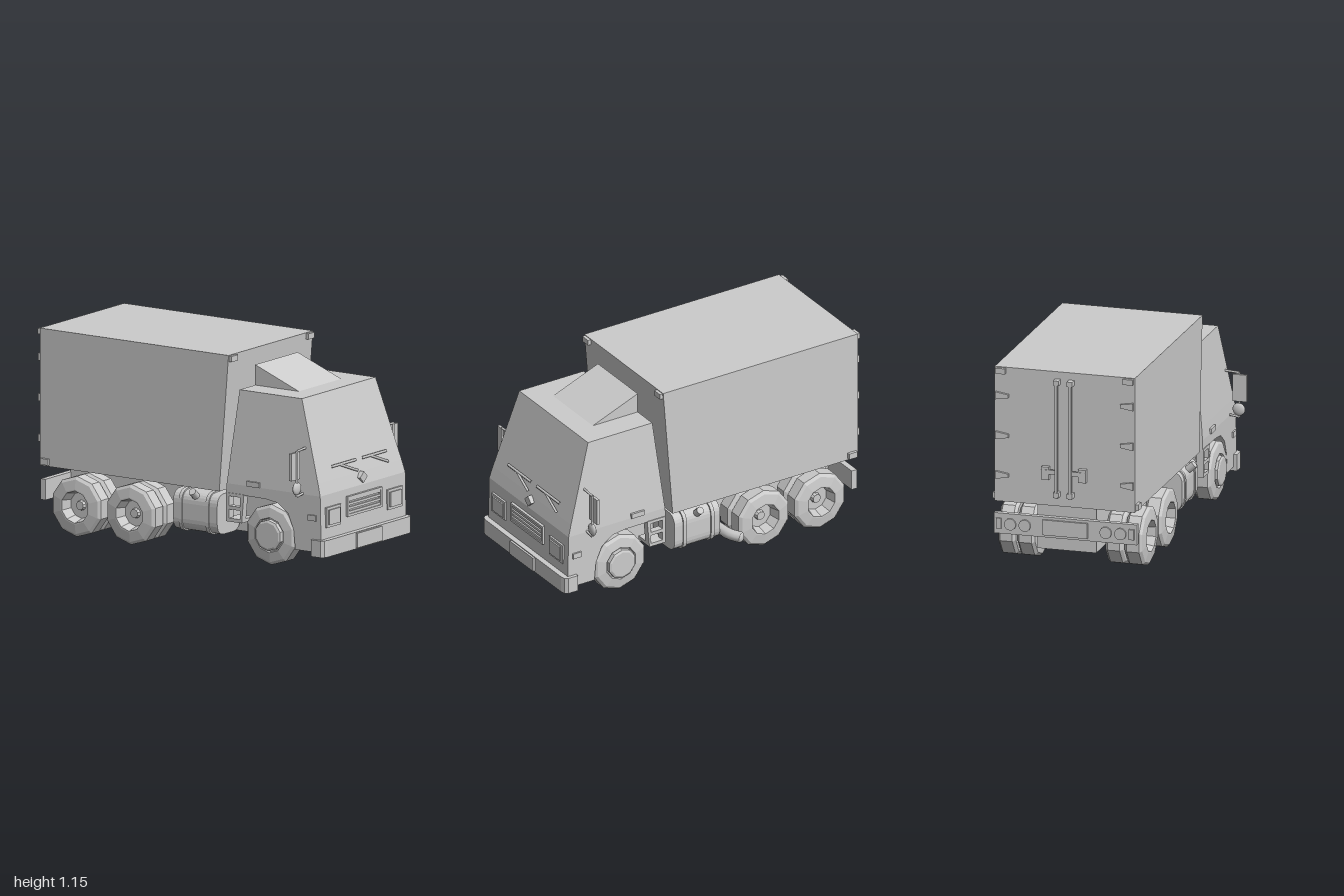
import * as THREE from 'three';

export function createModel() {
  const truck = new THREE.Group();
  truck.name = 'boxTruck';
  const grey = new THREE.MeshStandardMaterial({ color: 0xcccccc });
  grey.name = 'bodyGrey';

  const add = (name, geo, parent = truck) => {
    const m = new THREE.Mesh(geo, grey);
    m.name = name;
    parent.add(m);
    return m;
  };
  const flat = (g) => {
    const n = g.index ? g.toNonIndexed() : g;
    n.computeVertexNormals();
    return n;
  };
  // Box given by its min and max on each axis
  const block = (name, x0, x1, y0, y1, z0, z1, parent = truck) =>
    add(name, new THREE.BoxGeometry(x1 - x0, y1 - y0, z1 - z0)
      .translate((x0 + x1) / 2, (y0 + y1) / 2, (z0 + z1) / 2), parent);
  const toShape = (pts) => new THREE.Shape(pts.map((p) => new THREE.Vector2(...p)));
  // Extrude a (z, y) profile across x from x0 to x1
  const across = (shape, x0, x1) => new THREE.ExtrudeGeometry(shape, { depth: x1 - x0, bevelEnabled: false })
    .rotateY(-Math.PI / 2).translate(x1, 0, 0);
  const rod = (name, a, b, r, parent = truck, sides = 6) => add(name, new THREE.TubeGeometry(
    new THREE.LineCurve3(new THREE.Vector3(...a), new THREE.Vector3(...b)), 1, r, sides), parent);
  const frame = (name, w, h, border, depth, parent = truck) => {
    const s = toShape([[-w, -h], [w, -h], [w, h], [-w, h]]);
    const a = w - border, b = h - border;
    s.holes.push(new THREE.Path([[-a, -b], [-a, b], [a, b], [a, -b]].map((p) => new THREE.Vector2(...p))));
    return add(name, new THREE.ExtrudeGeometry(s, { depth, bevelEnabled: false }), parent);
  };

  // Chassis and axles
  block('chassis', -0.17, 0.17, 0.11, 0.376, -0.915, 0.9);
  for (const z of [0.61, -0.337, -0.706]) {
    add('axle', new THREE.CylinderGeometry(0.035, 0.035, 0.6, 10).rotateZ(Math.PI / 2).translate(0, 0.172, z));
  }

  // Lower cab with the front wheel arch cut away
  const lower = [[0.957, 0.11], [0.95, 0.43], [0.315, 0.43], [0.31, 0.375], [0.58, 0.372],
    [0.66, 0.36], [0.73, 0.31], [0.77, 0.22], [0.78, 0.11]];
  add('lowerCab', across(toShape(lower.slice().reverse()), -0.41, 0.41));

  // Upper cab: box whose rings follow [y, half width, back z, front z]
  const rings = [[0.43, 0.41, 0.315, 0.95], [0.5, 0.403, 0.322, 0.93], [0.957, 0.355, 0.364, 0.787]];
  const cab = new THREE.BoxGeometry(2, 2, 2, 1, 2, 1);
  const cp = cab.attributes.position;
  for (let i = 0; i < cp.count; i++) {
    const [y, w, back, front] = rings[Math.round(cp.getY(i) + 1)];
    cp.setXYZ(i, cp.getX(i) * w, y, cp.getZ(i) > 0 ? front : back);
  }
  add('upperCab', flat(cab));
  add('roofDeflector', across(toShape([[0.364, 0.957], [0.66, 0.957], [0.364, 1.073]]), -0.205, 0.205));

  // Cargo box with a leaning front wall
  add('cargoBox', across(toShape([[-0.957, 0.376], [0.262, 0.376], [0.325, 1.155], [-0.957, 1.155]]), -0.407, 0.407));

  // Bumper with chamfered corners, and number plate
  const bumper = toShape([[-0.43, -0.9], [-0.43, -0.965], [-0.415, -0.982], [-0.39, -0.988],
    [0.39, -0.988], [0.415, -0.982], [0.43, -0.965], [0.43, -0.9]]);
  add('frontBumper', new THREE.ExtrudeGeometry(bumper, { depth: 0.095, bevelEnabled: false })
    .rotateX(-Math.PI / 2).scale(1, 1, 1).translate(0, 0.088, 0));
  block('frontPlate', -0.12, 0.12, 0.095, 0.178, 0.985, 1.0);

  // Grille
  frame('grilleFrame', 0.165, 0.057, 0.014, 0.016).position.set(0, 0.332, 0.951);
  for (let i = 0; i < 4; i++) {
    const y = 0.297 + i * 0.0235;
    block('grilleSlat', -0.152, 0.152, y - 0.007, y + 0.007, 0.945, 0.963);
  }

  // Badge and wipers lie on the windscreen
  add('frontDiamond', new THREE.BoxGeometry(0.05, 0.05, 0.026).rotateZ(Math.PI / 4).scale(1, 0.92, 1))
    .position.set(0, 0.472, 0.945);
  for (const dx of [-0.295, 0]) {
    rod('wiperBlade', [0.033 + dx, 0.57, 0.918], [0.27 + dx, 0.57, 0.918], 0.008);
    rod('wiperArm', [0.12 + dx, 0.568, 0.918], [0.265 + dx, 0.513, 0.935], 0.008);
  }

  // Wheel built from a lathe, outer face toward +x
  const wheelGeo = (profile) => flat(new THREE.LatheGeometry(
    profile.map(([r, x]) => new THREE.Vector2(r, x)), 10, Math.PI / 2).rotateZ(-Math.PI / 2));
  const tyre = [[0, -0.045], [0.09, -0.045], [0.1, -0.055], [0.155, -0.052], [0.172, -0.036],
    [0.172, 0.036], [0.155, 0.05], [0.1, 0.058]];
  const frontWheel = wheelGeo([...tyre, [0.095, 0.045], [0.088, 0.045], [0.088, 0.07], [0.075, 0.076], [0, 0.076]]);
  const rearWheel = wheelGeo([...tyre, [0.092, 0.058], [0.076, -0.01], [0.03, -0.01], [0.025, 0.01], [0, 0.01]]);

  // Parts present on both sides; each is written for +x and turned or mirrored
  const trapezoid = toShape([[0.315, 0.215], [0.42, 0.215], [0.435, 0.378], [0.315, 0.378]]);
  for (const [a, b] of [[0.235, 0.285], [0.305, 0.36]]) {
    trapezoid.holes.push(new THREE.Path([[0.335, a], [0.335, b], [0.41, b], [0.41, a]]
      .map((p) => new THREE.Vector2(...p))));
  }
  const tankShape = new THREE.Shape();
  const rounded = (s, x0, y0, x1, y1, r) => {
    s.moveTo(x0 + r, y0);
    s.lineTo(x1 - r, y0).quadraticCurveTo(x1, y0, x1, y0 + r);
    s.lineTo(x1, y1 - r).quadraticCurveTo(x1, y1, x1 - r, y1);
    s.lineTo(x0 + r, y1).quadraticCurveTo(x0, y1, x0, y1 - r);
    s.lineTo(x0, y0 + r).quadraticCurveTo(x0, y0, x0 + r, y0);
    return s;
  };
  rounded(tankShape, 0.18, 0.12, 0.402, 0.35, 0.07);
  const strapShape = rounded(new THREE.Shape(), 0.174, 0.113, 0.41, 0.357, 0.074);
  const slice = (s, z0, z1) => new THREE.ExtrudeGeometry(s, { depth: z1 - z0, bevelEnabled: false, curveSegments: 6 })
    .translate(0, 0, z0);

  for (const s of [1, -1]) {
    const side = new THREE.Group();
    side.name = s > 0 ? 'leftSide' : 'rightSide';
    truck.add(side);
    const sb = (name, x0, x1, ...rest) =>
      s > 0 ? block(name, x0, x1, ...rest, side) : block(name, -x1, -x0, ...rest, side);
    const sr = (name, [ax, ay, az], [bx, by, bz], r) => rod(name, [s * ax, ay, az], [s * bx, by, bz], r, side);
    const wheel = (name, geo, x, z) => {
      const m = add(name, geo, side);
      m.position.set(s * x, 0.172, z);
      m.rotation.y = s > 0 ? 0 : Math.PI;
    };
    wheel('frontWheel', frontWheel, 0.362, 0.61);
    for (const z of [-0.337, -0.706]) {
      wheel('rearOuterWheel', rearWheel, 0.368, z);
      wheel('rearInnerWheel', rearWheel, 0.256, z);
    }

    // Fuel tank with straps and filler cap; the profile is symmetric about its own centre
    const tank = new THREE.Group();
    tank.name = 'fuelTank';
    tank.position.x = s > 0 ? 0 : -0.584;
    side.add(tank);
    add('tankBody', slice(tankShape, -0.053, 0.246), tank);
    for (const z of [-0.012, 0.17]) add('tankStrap', slice(strapShape, z, z + 0.022), tank);
    const cap = add('fillerCap', new THREE.CylinderGeometry(0.022, 0.022, 0.05, 8), side);
    cap.position.set(s * 0.412, 0.342, 0.095);
    cap.rotation.z = -s * 0.85;

    // Step, door handle and marker lamps
    add('cabStep', s > 0 ? across(trapezoid, 0.375, 0.415) : across(trapezoid, -0.415, -0.375), side);
    sb('stepTread', 0.3, 0.41, 0.215, 0.235, 0.32, 0.42);
    sb('doorHandle', 0.395, 0.42, 0.43, 0.459, 0.455, 0.54);
    sb('sideMarker', 0.405, 0.42, 0.288, 0.32, 0.87, 0.925);
    sb('rearSideMarker', 0.4, 0.424, 0.385, 0.42, -0.945, -0.89);
    sb('frontTopLamp', 0.342, 0.4, 1.118, 1.15, 0.3, 0.342);
    sb('rearTopLamp', 0.342, 0.4, 1.118, 1.15, -0.977, -0.95);

    // Headlight: surround plate with a raised lens
    sb('headlightSurround', 0.227, 0.365, 0.245, 0.36, 0.94, 0.963);
    sb('headlightLens', 0.242, 0.348, 0.26, 0.345, 0.955, 0.971);

    // Mirror bracket, main mirror and round mirror
    sr('mirrorBracket', [0.38, 0.688, 0.83], [0.468, 0.682, 0.83], 0.007);
    sr('mirrorBracket', [0.465, 0.686, 0.83], [0.465, 0.425, 0.83], 0.007);
    sr('mirrorBracket', [0.468, 0.425, 0.83], [0.39, 0.437, 0.83], 0.007);
    sb('mainMirror', 0.43, 0.514, 0.52, 0.675, 0.812, 0.828);
    add('roundMirror', new THREE.SphereGeometry(0.037, 14, 8).scale(1, 1, 0.4), side)
      .position.set(s * 0.463, 0.47, 0.828);

    // Rear door: locking rod, brackets, handle and tapered hinges
    sb('lockingRod', 0.032, 0.048, 0.43, 1.11, -0.998, -0.98);
    for (const y of [0.435, 1.085]) sb('rodBracket', 0.024, 0.056, y, y + 0.028, -1.0, -0.955);
    sb('doorLatch', 0.04, 0.13, 0.565, 0.59, -0.988, -0.975);
    sb('latchPlate', 0.085, 0.13, 0.53, 0.605, -0.985, -0.955);
    for (const y of [0.99, 0.76, 0.53]) {
      const hinge = toShape([[s * 0.4, y - 0.022], [s * 0.4, y + 0.022], [s * 0.325, y + 0.01], [s * 0.325, y - 0.01]]);
      add('doorHinge', new THREE.ExtrudeGeometry(hinge, { depth: 0.02, bevelEnabled: false }), side).position.z = -0.973;
    }

    // Rear lamps
    for (const x of [0.235, 0.32]) {
      add('rearRoundLamp', new THREE.CylinderGeometry(0.034, 0.034, 0.02, 14).rotateX(Math.PI / 2), side)
        .position.set(s * x, 0.243, -0.945);
    }
    sb('rearReflector', 0.37, 0.4, 0.215, 0.275, -0.955, -0.94);
  }

  // Rear light bar and plate
  block('rearLightBar', -0.415, 0.415, 0.185, 0.303, -0.945, -0.912);
  block('rearPlate', -0.13, 0.13, 0.2, 0.288, -0.957, -0.94);

  // Exhaust sweeping out on the left
  const bend = new THREE.CatmullRomCurve3([[0.16, 0.15, -0.09], [0.36, 0.15, -0.09], [0.43, 0.15, -0.1], [0.498, 0.15, -0.135]]
    .map((p) => new THREE.Vector3(...p)));
  add('exhaustPipe', new THREE.TubeGeometry(bend, 10, 0.031, 10));
  add('exhaustEnd', new THREE.SphereGeometry(0.029, 10, 6).scale(0.4, 1, 1).rotateY(0.46)).position.set(0.494, 0.15, -0.133);

  return truck;
}
